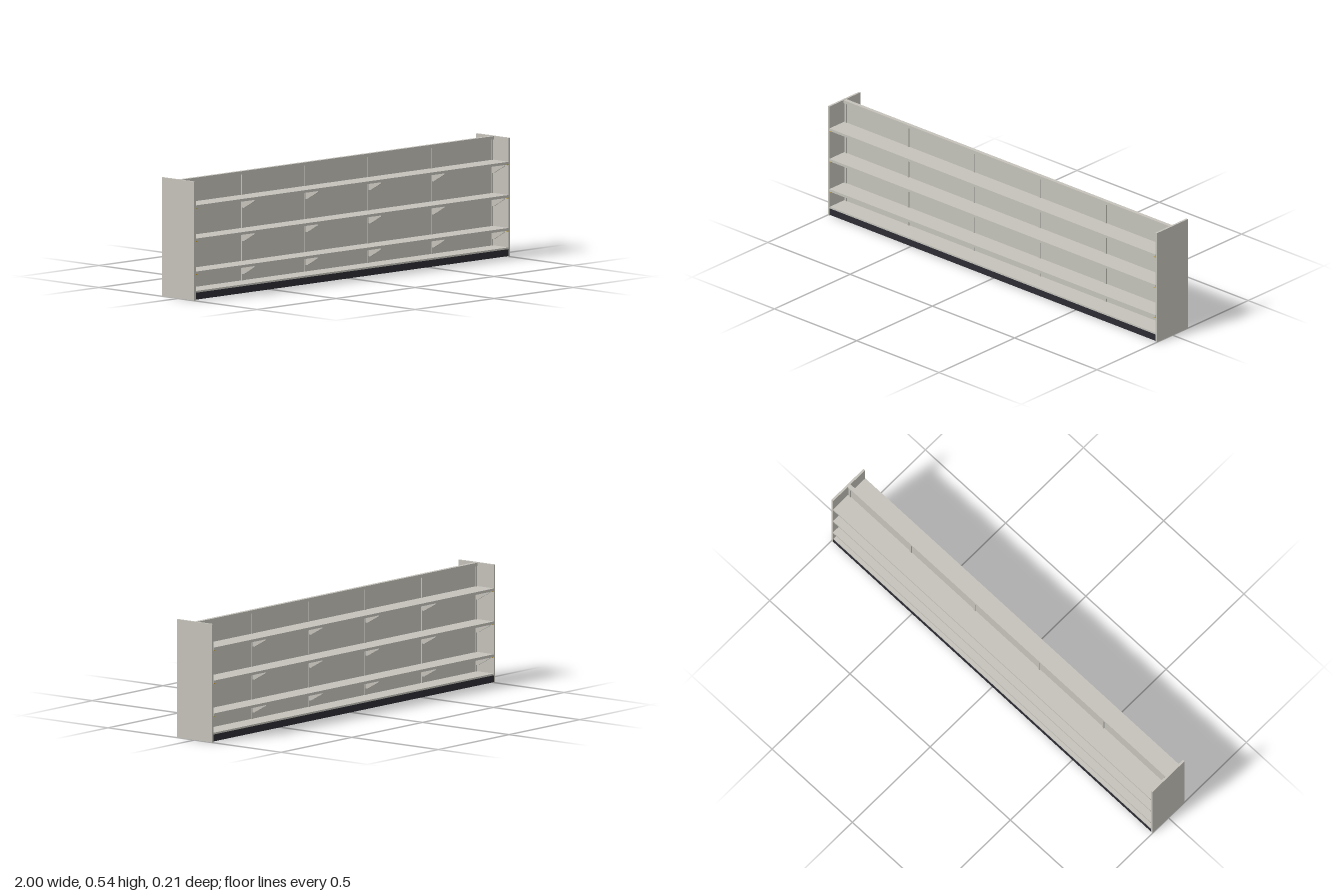
import * as THREE from 'three';

const mat = (name, color, side = THREE.FrontSide) => {
  const m = new THREE.MeshStandardMaterial({ color, side });
  m.name = name;
  return m;
};

export function createModel() {
  const group = new THREE.Group();
  const grey = mat('warmGrey', 0xc4c2ba);
  const dark = mat('darkPlinth', 0x2b2b33);
  const amber = mat('amberCap', 0xc9a227);

  // Box given by its lower and upper corners
  const box = (name, material, [x0, y0, z0], [x1, y1, z1]) => {
    const mesh = new THREE.Mesh(new THREE.BoxGeometry(x1 - x0, y1 - y0, z1 - z0), material);
    mesh.position.set((x0 + x1) / 2, (y0 + y1) / 2, (z0 + z1) / 2);
    mesh.name = name;
    group.add(mesh);
    return mesh;
  };

  const H = 0.5375, D = 0.1025, X = 0.99;
  const shelfYs = [0.119, 0.268, 0.418];
  const postXs = [-0.98, -0.6, -0.2, 0.2, 0.6, 0.98];

  // End panels
  for (const s of [-1, 1]) {
    const a = s > 0 ? X : -1;
    box('endPanel', grey, [a, 0, -D], [a + 0.01, H, D]);
  }

  // Central spine: back panel, top rail and uprights
  box('backPanel', grey, [-X, 0.04, -0.005], [X, 0.525, 0.005]);
  box('topRail', grey, [-X, 0.522, -0.009], [X, H - 0.001, 0.009]);
  for (const x of postXs) {
    box('upright', grey, [x - 0.005, 0.04, -0.009], [x + 0.005, 0.523, 0.009]);
    // Levelling foot below each upright
    const foot = new THREE.Mesh(new THREE.CylinderGeometry(0.009, 0.009, 0.035, 16), grey);
    foot.name = 'foot';
    foot.position.set(x, 0.0185, 0);
    group.add(foot);
  }

  // Base deck
  box('baseDeck', grey, [-X, 0.034, -D + 0.001], [X, 0.043, D - 0.001]);

  // Triangular bracket, drawn in (depth, height) and turned to face +z
  const shape = new THREE.Shape();
  shape.moveTo(0.008, 0);
  shape.lineTo(0.008, -0.046);
  shape.lineTo(0.02, -0.046);
  shape.lineTo(0.088, -0.008);
  shape.lineTo(0.088, 0);
  shape.closePath();
  const bracketGeo = new THREE.ExtrudeGeometry(shape, { depth: 0.005, bevelEnabled: false });
  bracketGeo.translate(0, 0, -0.0025);
  bracketGeo.rotateY(-Math.PI / 2);

  for (const s of [-1, 1]) {
    const span = (a, b) => (s > 0 ? [a, b] : [-b, -a]);
    // Plinth along the bottom of each long side
    const [k0, k1] = span(D - 0.004, D);
    box('kickPlate', dark, [-X, 0.004, k0], [X, 0.035, k1]);

    for (const y of shelfYs) {
      const [z0, z1] = span(0.005, 0.1035);
      box('shelf', grey, [-X, y, z0], [X, y + 0.012, z1]);
      // Small coloured caps under the shelf ends
      const [c0, c1] = span(0.096, 0.103);
      for (const x of [-0.988, 0.98])
        box('shelfEndCap', amber, [x, y - 0.003, c0], [x + 0.008, y, c1]);
      for (const x of postXs) {
        const bracket = new THREE.Mesh(bracketGeo, grey);
        bracket.name = 'shelfBracket';
        bracket.position.set(x, y, 0);
        bracket.rotation.y = s > 0 ? 0 : Math.PI;
        group.add(bracket);
      }
    }
  }
  return group;
}
